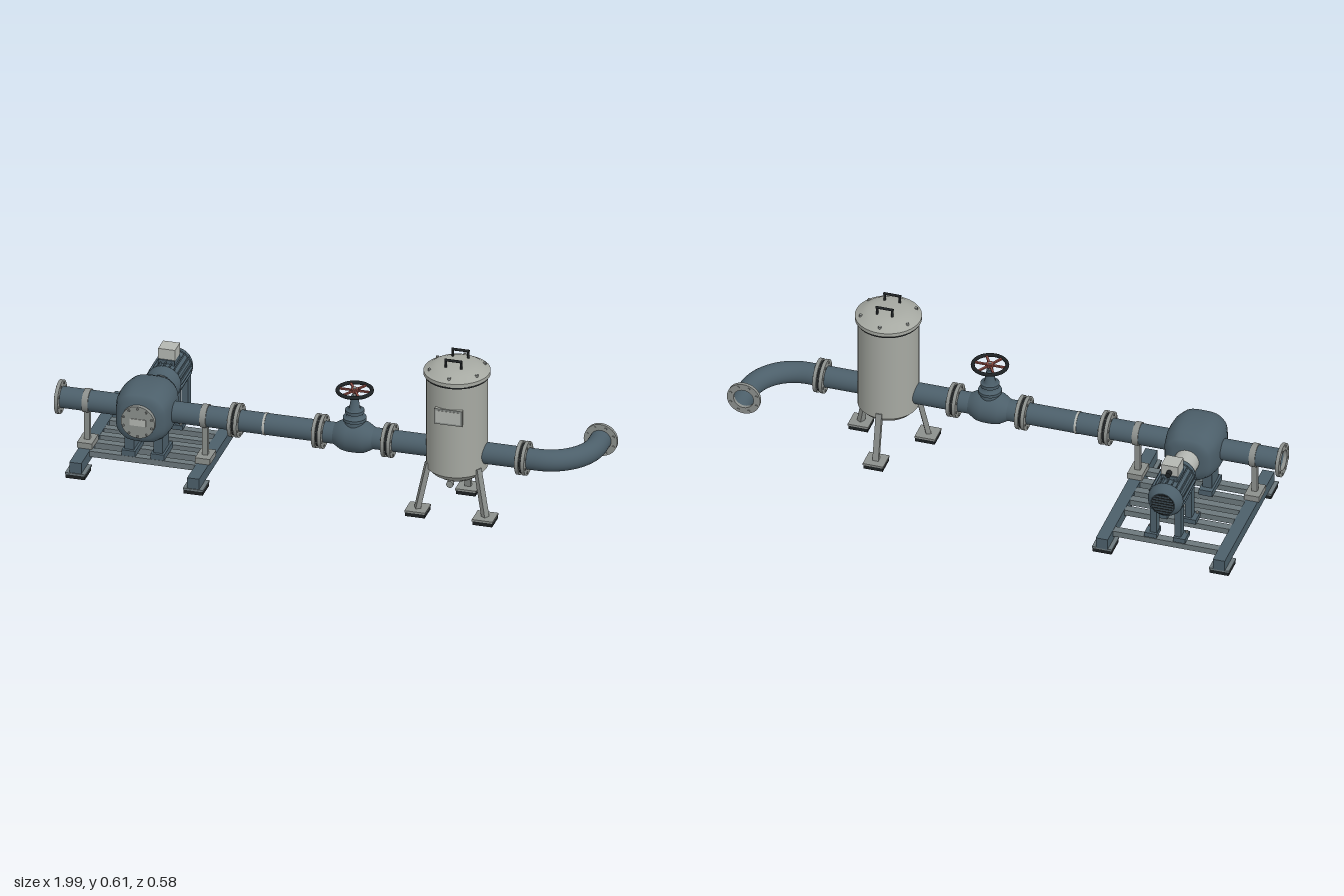
import * as THREE from 'three';

const mat = (name, color, side = THREE.FrontSide) => {
  const m = new THREE.MeshStandardMaterial({ color, side });
  m.name = name;
  return m;
};

export function createModel() {
  const root = new THREE.Group();
  root.name = 'pumpAndFilterLine';
  const slate = mat('slate paint', 0x4c5f6a, THREE.DoubleSide);
  const frame = mat('frame grey', 0x6c787c);
  const steel = mat('flange steel', 0x8c908d);
  const tankGrey = mat('tank grey', 0xa6a9a2, THREE.DoubleSide);
  const black = mat('black rubber', 0x1d2123);
  const red = mat('wheel red', 0x8a4a42);
  const pale = mat('pale grey', 0xb4b7b2);

  const PY = 0.235, PZ = 0.133;      // pipe axis height and depth
  const PUMP = -0.672, TANK = 0.467, VALVE = 0.091;

  const add = (name, geo, m, x = 0, y = 0, z = 0, parent = root) => {
    const mesh = new THREE.Mesh(geo, m);
    mesh.name = name;
    mesh.position.set(x, y, z);
    parent.add(mesh);
    return mesh;
  };
  const box = (name, m, w, h, d, x, y, z, parent) =>
    add(name, new THREE.BoxGeometry(w, h, d), m, x, y, z, parent);
  const turn = (geo, axis) => axis === 'x' ? geo.rotateZ(-Math.PI / 2) : axis === 'z' ? geo.rotateX(Math.PI / 2) : geo;
  const cyl = (name, m, r, len, axis, x, y, z, parent, open = false, seg = 32) =>
    add(name, turn(new THREE.CylinderGeometry(r, r, len, seg, 1, open), axis), m, x, y, z, parent);
  // Lathe profile of [radius, position along axis]; repeated points keep edges sharp
  const lathe = (name, m, pts, axis, x, y, z, parent, seg = 40) =>
    add(name, turn(new THREE.LatheGeometry(pts.map(p => new THREE.Vector2(...p)), seg), axis), m, x, y, z, parent);
  // Straight bar between two points
  const bar = (name, m, a, b, w, d, yaw, parent) => {
    const va = new THREE.Vector3(...a), vb = new THREE.Vector3(...b);
    const g = new THREE.BoxGeometry(w, va.distanceTo(vb), d).rotateY(yaw);
    const mesh = add(name, g, m, 0, 0, 0, parent);
    mesh.position.copy(va).lerp(vb, 0.5);
    mesh.quaternion.setFromUnitVectors(new THREE.Vector3(0, 1, 0), vb.sub(va).normalize());
    return mesh;
  };
  // Ring of n bolts around an axis
  const bolts = (n, ring, r, len, axis, x, y, z, m, parent) => {
    for (let i = 0; i < n; i++) {
      const a = (i + 0.5) * 2 * Math.PI / n, c = ring * Math.cos(a), s = ring * Math.sin(a);
      const o = axis === 'x' ? [0, c, s] : axis === 'y' ? [c, 0, s] : [c, s, 0];
      cyl('bolt', m, r, len, axis, x + o[0], y + o[1], z + o[2], parent, false, 6);
    }
  };

  // Main pipe and the elbow that sweeps to the back
  const run = new THREE.CurvePath();
  const V = (x, z) => new THREE.Vector3(x, PY, z);
  cyl('mainPipe', slate, 0.039, 1.755, 'x', -0.1175, PY, PZ, root, true);
  const bend = [];
  for (let i = 0; i <= 12; i++) {
    const a = i / 12 * Math.PI / 2;
    bend.push(V(0.763 + 0.17 * Math.sin(a), PZ - 0.17 + 0.17 * Math.cos(a)));
  }
  run.add(new THREE.LineCurve3(V(0.755, PZ), bend[0]));
  run.add(new THREE.CatmullRomCurve3(bend));
  run.add(new THREE.LineCurve3(bend[12], V(0.933, -0.086)));
  add('elbowPipe', new THREE.TubeGeometry(run, 48, 0.039, 32), slate);

  // Flanges
  const flange = (axis, x, z) => {
    const g = new THREE.Group();
    g.name = 'flange';
    root.add(g);
    const shape = new THREE.Shape().absarc(0, 0, 0.0615, 0, Math.PI * 2);
    shape.holes.push(new THREE.Path().absarc(0, 0, 0.037, 0, Math.PI * 2, true));
    const geo = new THREE.ExtrudeGeometry(shape, { depth: 0.013, bevelEnabled: false, curveSegments: 20 }).translate(0, 0, -0.0065);
    if (axis === 'x') geo.rotateY(Math.PI / 2);
    add('flangeRing', geo, steel, x, PY, z, g);
    bolts(8, 0.051, 0.0045, 0.019, axis, x, PY, z, steel, g);
  };
  flange('x', -0.99, PZ);
  for (const x of [-0.344, -0.035, 0.219, 0.712]) {
    for (const s of [-1, 1]) flange('x', x + s * 0.011, PZ);
    cyl('gasket', black, 0.055, 0.01, 'x', x, PY, PZ);
  }
  flange('z', 0.933, -0.0815);
  cyl('weldRing', pale, 0.041, 0.008, 'x', -0.235, PY, PZ);

  // Pump casing: a barrel along z with a squarish rounded section
  const casing = new THREE.LatheGeometry([[0, -0.108], [0.055, -0.108], [0.082, -0.1], [0.095, -0.07], [0.102, -0.03],
    [0.103, 0.01], [0.1, 0.05], [0.09, 0.085], [0.07, 0.102], [0, 0.105]].map(p => new THREE.Vector2(...p)), 48).rotateX(Math.PI / 2);
  const cp = casing.attributes.position;
  for (let i = 0; i < cp.count; i++) {
    const x = cp.getX(i), y = cp.getY(i), r = Math.hypot(x, y);
    if (r < 1e-6) continue;
    const k = Math.min(1.1, Math.pow(Math.pow(Math.abs(x / r), 3) + Math.pow(Math.abs(y / r), 3), -1 / 3));
    cp.setXY(i, x * k, y * k);
  }
  casing.computeVertexNormals();
  add('pumpCasing', casing, slate, PUMP, PY, PZ);
  cyl('pumpCover', steel, 0.062, 0.016, 'z', PUMP, PY, 0.243);
  bolts(10, 0.054, 0.004, 0.008, 'z', PUMP, PY, 0.253, steel);
  box('pumpPlate', pale, 0.06, 0.026, 0.003, PUMP, PY, 0.252);
  for (const s of [-1, 1]) {
    box('pumpLeg', slate, 0.034, 0.1, 0.08, PUMP + s * 0.053, 0.13, 0.135);
    box('pumpFoot', slate, 0.05, 0.022, 0.112, PUMP + s * 0.053, 0.074, 0.13);
  }

  // Coupling housing between pump and motor
  cyl('couplingHousing', pale, 0.045, 0.07, 'z', PUMP, PY, -0.008);
  box('couplingPost', steel, 0.05, 0.16, 0.016, PUMP, 0.14, -0.005);

  // Motor
  const motor = new THREE.Group();
  motor.name = 'motor';
  motor.position.set(PUMP, PY, 0);
  root.add(motor);
  lathe('motorBody', slate, [[0, -0.255], [0.044, -0.255], [0.044, -0.255], [0.06, -0.238], [0.064, -0.228], [0.064, -0.216],
    [0.064, -0.216], [0.059, -0.216], [0.059, -0.216], [0.059, -0.078], [0.059, -0.078], [0.064, -0.078], [0.064, -0.078],
    [0.064, -0.066], [0.058, -0.052], [0.046, -0.04], [0.046, -0.04], [0, -0.04]], 'z', 0, 0, 0, motor);
  for (let i = 0; i < 20; i++) {
    const fin = box('coolingFin', slate, 0.012, 0.0045, 0.138, 0, 0, -0.147, motor);
    const a = i / 20 * Math.PI * 2;
    fin.position.x = 0.061 * Math.cos(a);
    fin.position.y = 0.061 * Math.sin(a);
    fin.rotation.z = a;
  }
  cyl('fanOpening', black, 0.042, 0.003, 'z', 0, 0, -0.2555, motor);
  for (let i = -3; i <= 3; i++) box('fanGrilleBar', slate, 2 * Math.sqrt(0.0017 - (i * 0.011) ** 2), 0.004, 0.003, 0, i * 0.011, -0.258, motor);
  box('terminalBox', pale, 0.062, 0.042, 0.063, 0, 0.091, -0.1445, motor);
  box('terminalBoxBase', slate, 0.06, 0.02, 0.075, 0, 0.062, -0.1445, motor);
  cyl('cableGland', black, 0.01, 0.022, 'z', 0, 0.085, -0.186, motor);
  for (const z of [-0.081, -0.205]) for (const s of [-1, 1]) {
    box('motorLeg', slate, 0.024, 0.125, 0.036, s * 0.045, -0.095, z, motor);
    box('motorFoot', slate, 0.045, 0.018, 0.056, s * 0.053, -0.16, z, motor);
    cyl('footBolt', steel, 0.005, 0.008, 'y', s * 0.067, -0.148, z + 0.018, motor, false, 6);
  }

  // Base frame with rubber feet and pipe stands
  for (const x of [-0.89, -0.457]) {
    box('sideRail', slate, 0.044, 0.042, 0.578, x, 0.042, 0);
    for (const z of [-0.245, 0.25]) {
      box('footPlate', frame, 0.074, 0.007, 0.084, x, 0.0185, z);
      box('rubberFoot', black, 0.07, 0.015, 0.08, x, 0.0075, z);
    }
    box('standBase', steel, 0.055, 0.022, 0.08, x, 0.074, PZ);
    box('stand', steel, 0.02, 0.13, 0.02, x, 0.145, PZ);
    cyl('pipeClamp', steel, 0.043, 0.022, 'x', x, PY, PZ);
  }
  for (const z of [-0.215, -0.08, -0.015, 0.04, 0.1, 0.17])
    box('crossBar', frame, 0.4, 0.022, 0.03, -0.6735, 0.051, z);

  // Gate valve
  const valve = new THREE.Group();
  valve.name = 'gateValve';
  valve.position.set(VALVE, PY, PZ);
  root.add(valve);
  lathe('valveBody', slate, [[0.039, -0.072], [0.046, -0.06], [0.056, -0.042], [0.06, -0.02], [0.06, 0.02], [0.056, 0.042],
    [0.046, 0.06], [0.039, 0.072]], 'x', 0, 0, 0, valve);
  lathe('valveBonnet', slate, [[0.038, 0.02], [0.036, 0.062], [0.036, 0.062], [0.042, 0.064], [0.042, 0.064], [0.042, 0.075],
    [0.042, 0.075], [0.03, 0.076], [0.027, 0.09], [0.027, 0.09], [0.034, 0.092], [0.034, 0.092], [0.034, 0.104],
    [0.034, 0.104], [0.02, 0.106], [0.012, 0.16], [0.012, 0.16], [0, 0.16]], 'y', 0, 0, 0, valve, 28);
  cyl('valveStem', steel, 0.006, 0.05, 'y', 0, 0.163, 0, valve);
  add('handwheelRim', new THREE.TorusGeometry(0.061, 0.007, 10, 40).rotateX(Math.PI / 2), black, 0, 0.179, 0, valve);
  cyl('handwheelHub', red, 0.014, 0.014, 'y', 0, 0.179, 0, valve);
  for (let i = 0; i < 3; i++)
    box('handwheelSpoke', red, 0.118, 0.006, 0.008, 0, 0.179, 0, valve).rotation.y = i * Math.PI / 3;

  // Filter tank
  const tank = new THREE.Group();
  tank.name = 'filterTank';
  tank.position.set(TANK, 0, PZ);
  root.add(tank);
  lathe('tankShell', tankGrey, [[0, 0.125], [0.03, 0.127], [0.065, 0.139], [0.09, 0.156], [0.109, 0.176], [0.109, 0.176],
    [0.109, 0.176], [0.109, 0.53]], 'y', 0, 0, 0, tank, 48);
  cyl('lidSeal', black, 0.114, 0.005, 'y', 0, 0.531, 0, tank, false, 48);
  lathe('tankLid', tankGrey, [[0.109, 0.532], [0.1185, 0.536], [0.1185, 0.536], [0.1185, 0.55], [0.1185, 0.55], [0.108, 0.555],
    [0.092, 0.566], [0.072, 0.574], [0.045, 0.579], [0, 0.581]], 'y', 0, 0, 0, tank, 48);
  bolts(6, 0.1, 0.006, 0.012, 'y', 0, 0.56, 0, steel, tank);
  for (const z of [-0.044, 0.045]) {
    for (const s of [-1, 1]) cyl('handlePost', black, 0.0045, 0.034, 'y', s * 0.028, 0.59, z, tank, false, 10);
    cyl('handleGrip', black, 0.005, 0.065, 'x', 0, 0.605, z, tank, false, 10);
  }
  box('plateMount', tankGrey, 0.1, 0.058, 0.012, 0, 0.415, 0.105, tank);
  box('blankPlate', steel, 0.104, 0.06, 0.004, 0, 0.415, 0.113, tank);
  box('plateInset', pale, 0.09, 0.046, 0.002, 0, 0.415, 0.1155, tank);
  cyl('drainPipe', steel, 0.009, 0.05, 'z', 0, 0.14, 0.069, tank, false, 16);
  cyl('drainCap', steel, 0.013, 0.012, 'z', 0, 0.14, 0.088, tank, false, 16);

  // Three splayed tank legs on square pads
  for (let i = 0; i < 3; i++) {
    const a = Math.PI + i * 2 * Math.PI / 3, sx = Math.sin(a), sz = Math.cos(a);
    bar('tankLeg', steel, [sx * 0.144, 0.02, sz * 0.144], [sx * 0.105, 0.195, sz * 0.105], 0.022, 0.018, a, tank);
    box('tankFootPlate', steel, 0.076, 0.007, 0.076, sx * 0.143, 0.0185, sz * 0.143, tank);
    box('tankFootPad', black, 0.072, 0.015, 0.072, sx * 0.143, 0.0075, sz * 0.143, tank);
  }
  return root;
}
